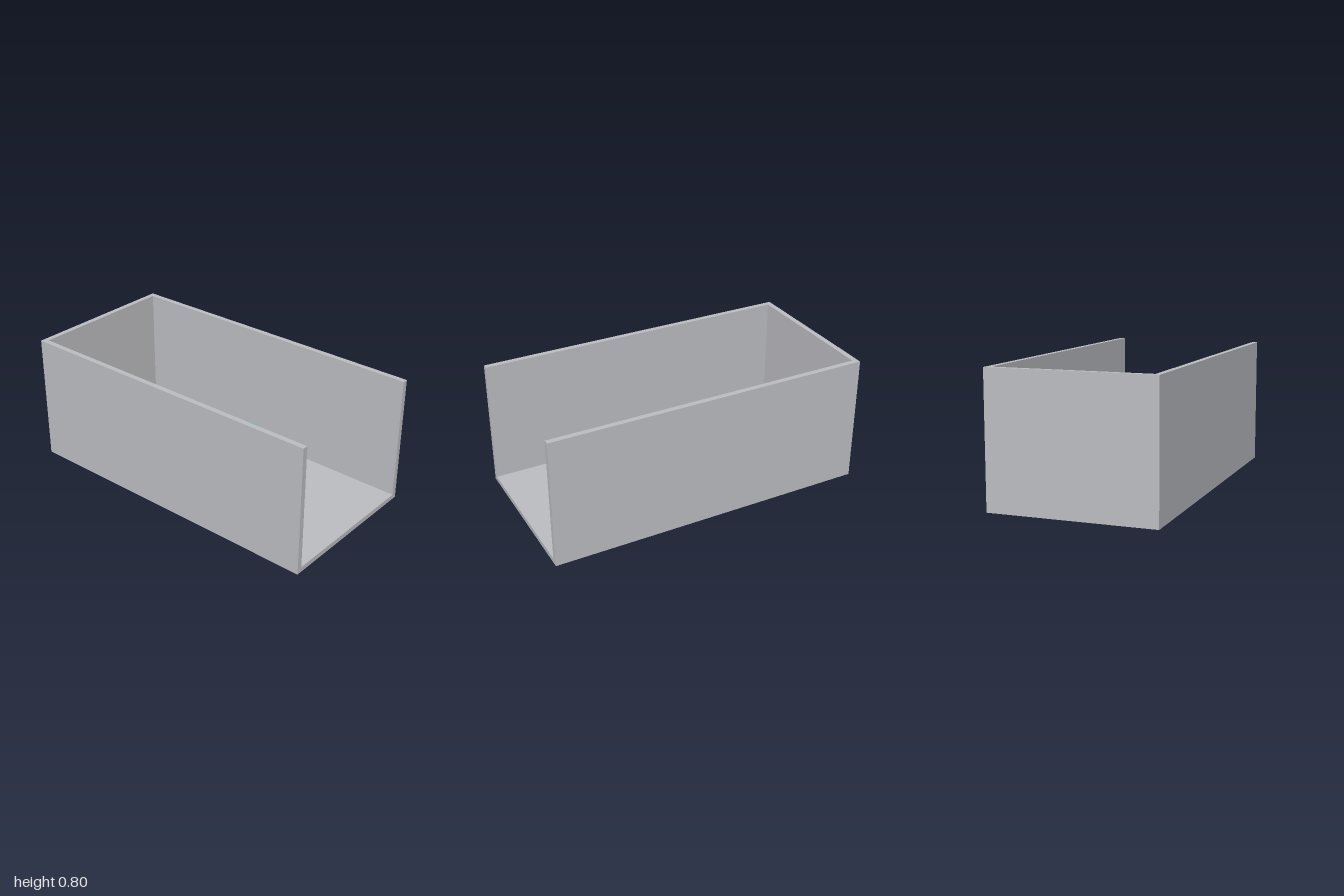
import * as THREE from 'three';

const grey = new THREE.MeshStandardMaterial({ color: 0xbbbcc0 });
grey.name = 'light grey';
const teal = new THREE.MeshStandardMaterial({ color: 0x40c2b4 });
teal.name = 'teal';

// Box given by its size, bottom-centre position and material
function box(name, [w, h, d], [x, y, z], material) {
  const geometry = new THREE.BoxGeometry(w, h, d).translate(0, h / 2, 0);
  const mesh = new THREE.Mesh(geometry, material);
  mesh.name = name;
  mesh.position.set(x, y, z);
  return mesh;
}

export function createModel() {
  const model = new THREE.Group();
  model.name = 'room';
  const wall = 0.033, floor = 0.031, height = 0.8;

  // Room shell: floor, side walls and back wall, open at the front and top
  const shell = new THREE.Group();
  shell.name = 'shell';
  shell.add(box('floor', [1, floor, 2], [0, 0, 0], grey));
  shell.add(box('backWall', [1 - 2 * wall, height - floor, wall], [0, floor, -1 + wall / 2], grey));
  for (const [side, s] of [['left', 1], ['right', -1]]) {
    shell.add(box(side + 'Wall', [wall, height - floor, 2], [s * (0.5 - wall / 2), floor, 0], grey));
  }
  model.add(shell);

  // Table with four square legs
  const table = new THREE.Group();
  table.name = 'table';
  const topY = 0.189;
  table.add(box('tableTop', [0.41, 0.019, 0.23], [0, topY, 0], grey));
  for (const sx of [-1, 1]) {
    for (const sz of [-1, 1]) {
      table.add(box('tableLeg', [0.016, topY - floor, 0.016], [sx * 0.138, floor, sz * 0.075], grey));
    }
  }
  model.add(table);

  // A block stool at each end of the table
  for (const [side, s] of [['left', 1], ['right', -1]]) {
    model.add(box(side + 'Stool', [0.124, 0.174, 0.124], [s * 0.3, floor, 0], teal));
  }
  return model;
}
